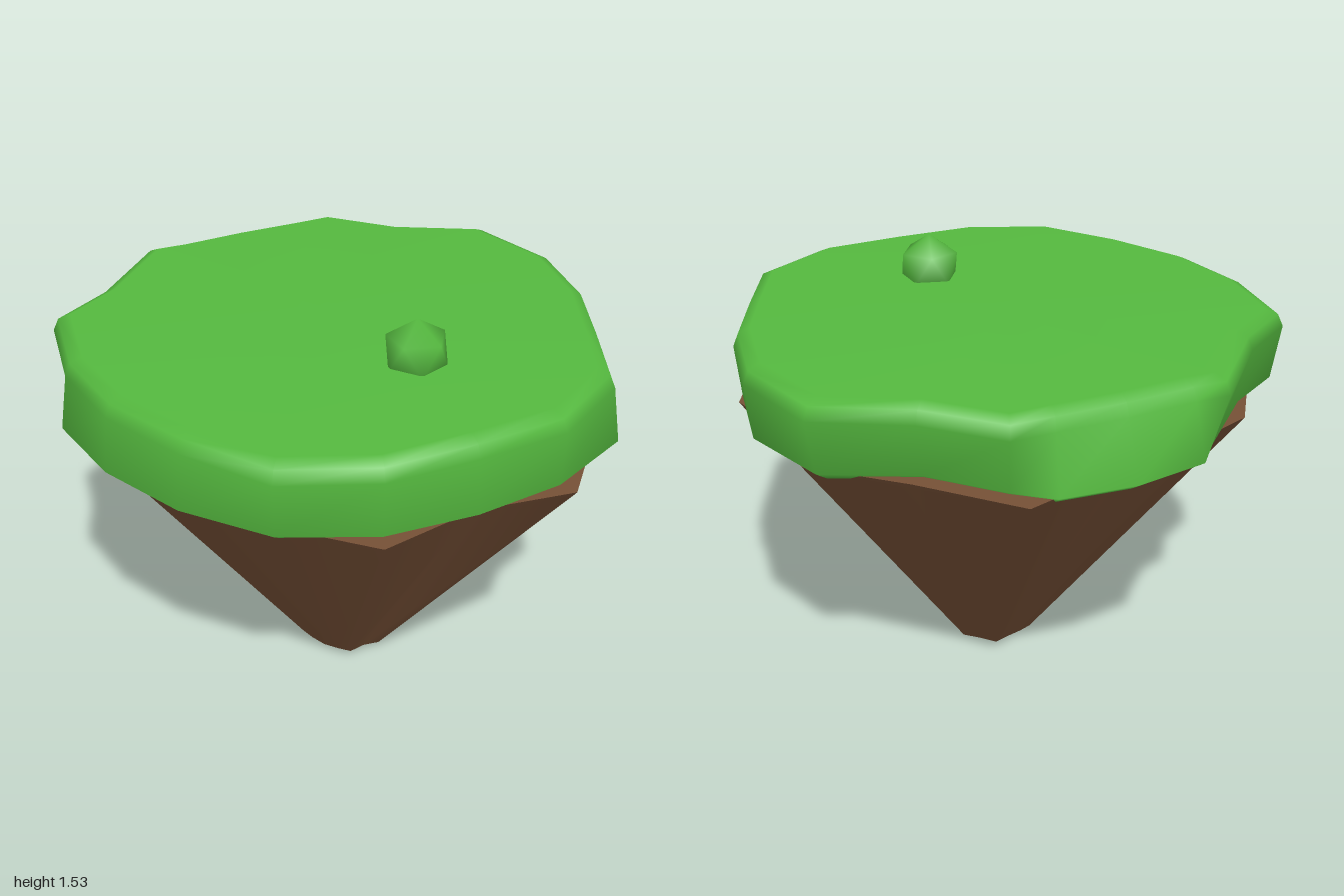
import * as THREE from 'three';
import { mergeVertices } from 'three/addons/utils/BufferGeometryUtils.js';

// Closed loft through rings (bottom to top). Each ring is a list of [x, y, z].
// A ring listed twice gives a sharp edge there.
function loft(rings) {
  const n = rings[0].length;
  const pos = rings.flat(2);
  const index = [];
  for (let r = 0; r < rings.length - 1; r++) {
    if (rings[r] === rings[r + 1]) continue;
    for (let i = 0; i < n; i++) {
      const a = r * n + i, b = r * n + (i + 1) % n;
      index.push(a, a + n, b, b, a + n, b + n);
    }
  }
  // fan caps around the ring centres
  const cap = (r, up) => {
    const centre = pos.length / 3;
    const mean = k => rings[r].reduce((s, p) => s + p[k], 0) / n;
    pos.push(mean(0), mean(1), mean(2));
    for (let i = 0; i < n; i++) {
      const a = r * n + i, b = r * n + (i + 1) % n;
      if (up) index.push(centre, b, a); else index.push(centre, a, b);
    }
  };
  cap(0, false);
  cap(rings.length - 1, true);
  const g = new THREE.BufferGeometry();
  g.setAttribute('position', new THREE.Float32BufferAttribute(pos, 3));
  g.setIndex(index);
  g.computeVertexNormals();
  return g;
}

// Outlines run from the left side towards the front: [x, z]
const ROCK = [
  [0.93, 0.19], [0.81, 0.42], [0.73, 0.6], [0.58, 0.77], [0.37, 0.99], [0.02, 0.93],
  [-0.34, 0.99], [-0.55, 0.77], [-0.76, 0.5], [-0.89, 0.16], [-0.97, -0.17], [-0.78, -0.47],
  [-0.6, -0.71], [-0.33, -0.8], [0, -0.87], [0.37, -0.97], [0.63, -0.66], [0.9, -0.39], [0.87, -0.06],
];

// [x, z, scale near the bottom, scale near the top]
const GRASS = [
  [1, -0.14, 0.98, 1], [0.93, 0.2, 0.98, 1], [0.82, 0.5, 1, 0.97], [0.67, 0.8, 1, 0.97],
  [0.34, 0.95, 0.99, 1], [0.01, 0.97, 1, 0.99], [-0.32, 0.95, 0.99, 1], [-0.63, 0.81, 0.98, 1],
  [-0.83, 0.52, 1, 0.98], [-0.96, 0.2, 1, 0.98], [-1, -0.14, 1, 0.97], [-0.9, -0.49, 0.97, 1],
  [-0.67, -0.63, 0.96, 1], [-0.38, -0.92, 0.94, 1], [-0.27, -0.96, 1, 0.95], [0, -1, 1, 0.92],
  [0.27, -0.97, 1, 0.94], [0.41, -0.91, 0.95, 1], [0.62, -0.68, 0.94, 1], [0.92, -0.5, 0.96, 1],
];

export function createModel() {
  const grassGreen = new THREE.MeshStandardMaterial({ color: 0x55b93f });
  grassGreen.name = 'grassGreen';
  const earthBrown = new THREE.MeshStandardMaterial({ color: 0x765036 });
  earthBrown.name = 'earthBrown';

  const group = new THREE.Group();
  group.name = 'floatingIsland';
  const add = (name, geometry, material) => {
    const mesh = new THREE.Mesh(geometry, material);
    mesh.name = name;
    group.add(mesh);
    return mesh;
  };

  // Tapering rock underside with a small blunt tip
  const rockRing = (y, s) => ROCK.map(([x, z]) => [x * s + 0.01 * (1 - s), y, z * s + 0.05 * (1 - s)]);
  const rim = rockRing(1.1, 1);
  add('rock', loft([rockRing(0, 0.13), rockRing(0.025, 0.175), rockRing(1.08, 0.985), rim, rim]), earthBrown);

  // Grass slab with rounded rim and uneven sides
  const grassRing = (y, k, s) => GRASS.map(p => [p[0] * p[k] * s, y, p[1] * p[k] * s]);
  add('grass', loft([
    grassRing(1.075, 2, 0.95),
    grassRing(1.11, 2, 1),
    grassRing(1.31, 3, 1),
    grassRing(1.355, 3, 0.98),
    grassRing(1.375, 3, 0.935),
  ]), grassGreen);

  // Small bush: icosahedron standing on one corner, smooth shaded
  let bush = new THREE.IcosahedronGeometry(0.12, 0);
  bush.deleteAttribute('normal');
  bush.deleteAttribute('uv');
  bush = mergeVertices(bush);
  bush.rotateX(-Math.atan((1 + Math.sqrt(5)) / 2));
  bush.rotateY(Math.PI / 2);
  bush.computeVertexNormals();
  add('bush', bush, grassGreen).position.set(0.087, 1.415, 0.415);

  return group;
}
